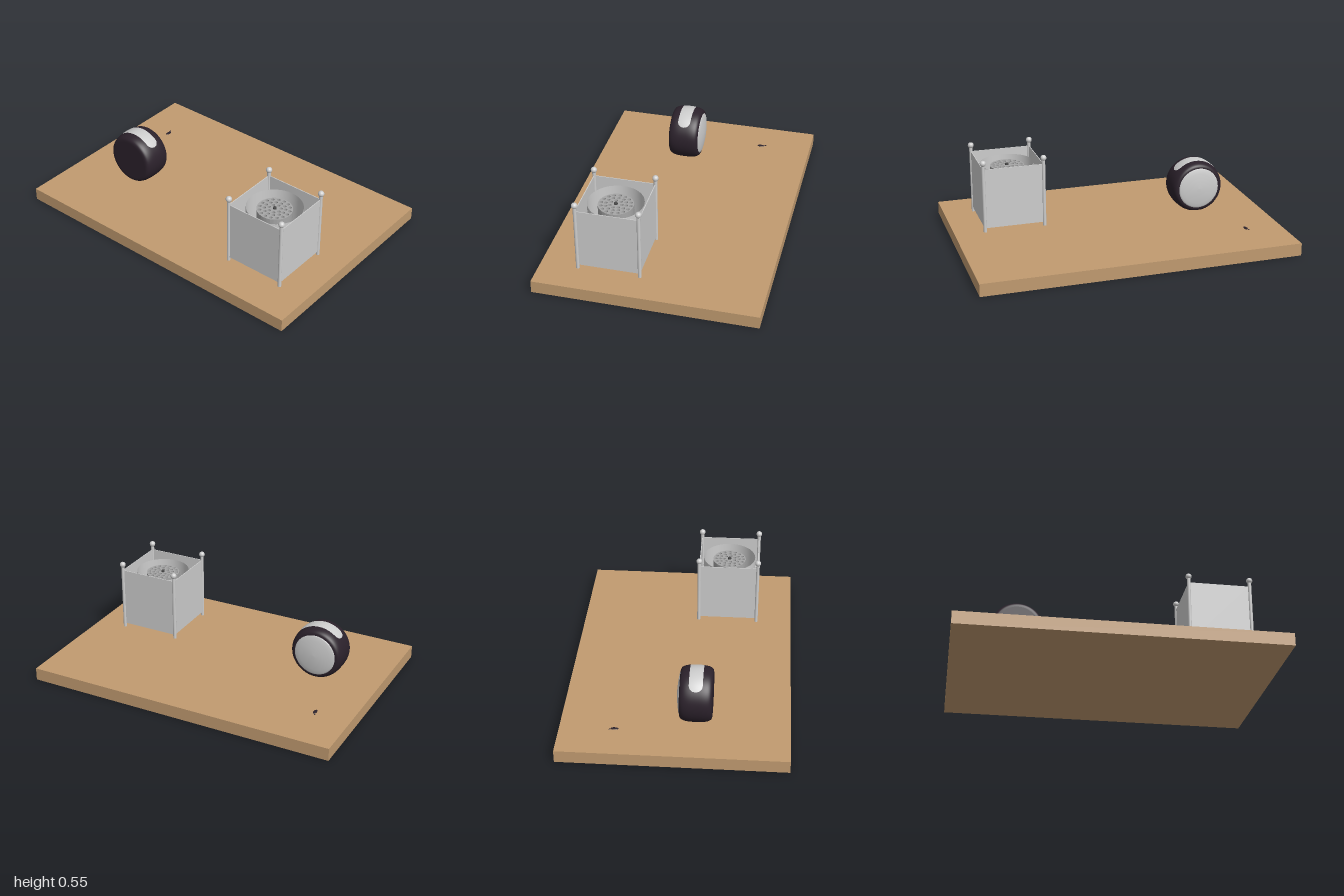
import * as THREE from 'three';

const mat = (name, color, side = THREE.FrontSide) => {
  const m = new THREE.MeshStandardMaterial({ color, side });
  m.name = name;
  return m;
};

export function createModel() {
  const wood = mat('wood', 0xc19b70);
  const silver = mat('silver', 0xcdcdcd, THREE.DoubleSide);
  const grey = mat('burnerGrey', 0xa6a6a6);
  const rubber = mat('darkRubber', 0x2b212b, THREE.DoubleSide);
  const dark = mat('darkGrey', 0x4a4a4a);

  const model = new THREE.Group();
  const add = (parent, name, geo, material, x = 0, y = 0, z = 0) => {
    const m = new THREE.Mesh(geo, material);
    m.name = name;
    m.position.set(x, y, z);
    parent.add(m);
    return m;
  };

  // Board
  add(model, 'board', new THREE.BoxGeometry(1.37, 0.08, 2), wood, 0, 0.04, 0);

  // Square cage with corner posts, panels and braces
  const cage = new THREE.Group();
  cage.name = 'cage';
  cage.position.set(-0.263, 0, 0.616);
  model.add(cage);
  const h = 0.191;
  for (let i = 0; i < 4; i++) {
    const side = new THREE.Group();
    side.name = 'cageSide';
    side.rotation.y = i * Math.PI / 2;
    cage.add(side);
    add(side, 'post', new THREE.CylinderGeometry(0.011, 0.011, 0.44, 20), silver, h, 0.3, h);
    add(side, 'postBall', new THREE.SphereGeometry(0.019, 20, 14), silver, h, 0.53, h);
    add(side, 'panel', new THREE.BoxGeometry(2 * h - 0.01, 0.385, 0.005), silver, 0, 0.2975, h);
    const length = h * Math.SQRT2 - 0.1;
    const brace = add(side, 'brace', new THREE.CylinderGeometry(0.005, 0.005, length, 10), silver);
    const mid = (0.1 + length / 2) / Math.SQRT2;
    brace.position.set(mid, 0.28, mid);
    brace.quaternion.setFromUnitVectors(new THREE.Vector3(0, 1, 0), new THREE.Vector3(1, 0, 1).normalize());
  }

  // Thin open sleeve
  add(cage, 'sleeve', new THREE.CylinderGeometry(0.17, 0.17, 0.35, 64, 1, true), silver, 0, 0.282, 0);

  // Drum with a perforated lid
  add(cage, 'drum', new THREE.CylinderGeometry(0.107, 0.107, 0.28, 48), grey, 0, 0.28, 0);
  const lid = new THREE.Shape().absarc(0, 0, 0.108, 0, Math.PI * 2);
  for (const [r, n] of [[0.037, 7], [0.063, 12], [0.09, 16]]) {
    for (let i = 0; i < n; i++) {
      const a = i / n * Math.PI * 2;
      lid.holes.push(new THREE.Path().absarc(r * Math.cos(a), r * Math.sin(a), 0.0105, 0, Math.PI * 2, true));
    }
  }
  const lidGeo = new THREE.ExtrudeGeometry(lid, { depth: 0.022, bevelEnabled: false, curveSegments: 16 });
  lidGeo.rotateX(-Math.PI / 2);
  add(cage, 'perforatedLid', lidGeo, grey, 0, 0.42, 0);
  add(cage, 'lidKnob', new THREE.CylinderGeometry(0.011, 0.011, 0.012, 20), dark, 0, 0.446, 0);

  // Wheel, its axle along x
  const wheel = new THREE.Group();
  wheel.name = 'wheel';
  wheel.position.set(-0.12, 0.235, -0.595);
  model.add(wheel);
  const profile = [[0, -0.098], [0.13, -0.098]];
  for (let i = 0; i <= 24; i++) {
    // Softly squared shoulder and crown
    const t = -Math.PI / 2 + i / 24 * Math.PI;
    const c = Math.cos(t), s = Math.sin(t);
    profile.push([0.13 + 0.04 * Math.pow(Math.max(c, 0), 0.7), 0.098 * Math.sign(s) * Math.pow(Math.abs(s), 0.7)]);
  }
  profile.push([0, 0.098]);
  const tyre = new THREE.LatheGeometry(profile.map(p => new THREE.Vector2(...p)), 72);
  tyre.rotateZ(-Math.PI / 2);
  add(wheel, 'tyre', tyre, rubber);

  // Domed hubcap on the left side only
  const dome = [[0.135, 0.09], [0.135, 0.097], [0.125, 0.102], [0.1, 0.107], [0.065, 0.112], [0.03, 0.115], [0, 0.116]];
  const cap = new THREE.LatheGeometry(dome.map(p => new THREE.Vector2(...p)), 64);
  cap.rotateZ(-Math.PI / 2);
  add(wheel, 'hubcap', cap, silver);

  // Rounded strip wrapped over the crown of the tyre
  const w = 0.041, R = 0.1715, end = 0.9;
  const strip = new THREE.PlaneGeometry(1, 1, 10, 60);
  const pos = strip.attributes.position;
  for (let i = 0; i < pos.count; i++) {
    const a = pos.getY(i) * 2 * end;
    const over = Math.max(0, R * Math.abs(a) - (R * end - w));
    const x = pos.getX(i) * 2 * Math.sqrt(Math.max(0, w * w - over * over));
    const r = R - 1.6 * x * x;
    pos.setXYZ(i, x, r * Math.cos(a), -r * Math.sin(a));
  }
  strip.computeVertexNormals();
  add(wheel, 'crownStrip', strip, silver);

  // Tiny flat fragment lying on the board
  const chip = add(model, 'chip', new THREE.SphereGeometry(1, 16, 10), rubber, 0.355, 0.081, -0.77);
  chip.scale.set(0.024, 0.004, 0.011);
  const speck = add(model, 'speck', new THREE.SphereGeometry(1, 10, 8), rubber, 0.384, 0.081, -0.779);
  speck.scale.set(0.007, 0.003, 0.004);

  return model;
}
